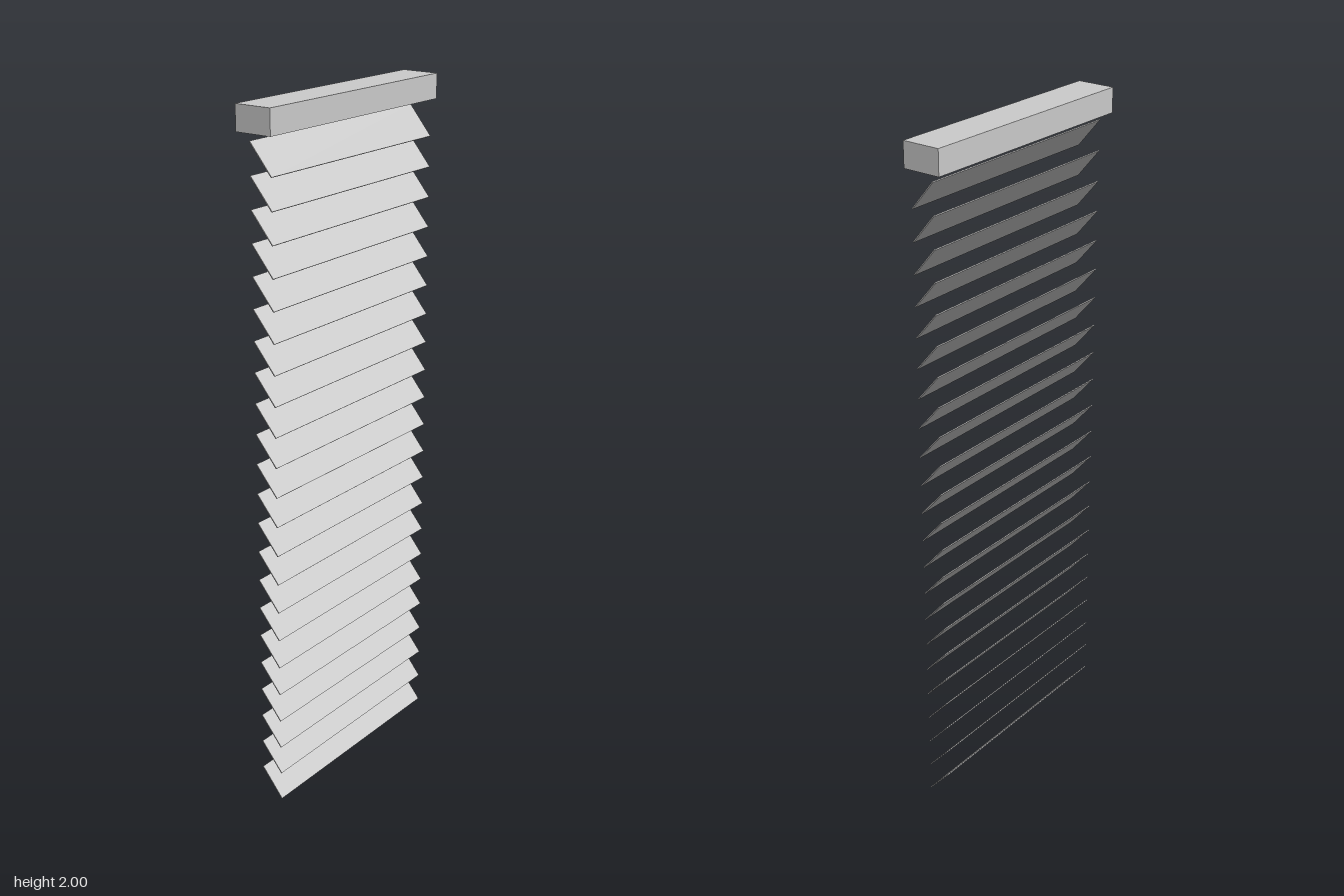
import * as THREE from 'three';

export function createModel() {
  const group = new THREE.Group();
  group.name = 'windowBlind';
  const material = new THREE.MeshStandardMaterial({ color: 0xcccccc, flatShading: true });

  // the whole blind is turned about the vertical axis
  const blind = new THREE.Group();
  blind.name = 'blind';
  blind.rotation.y = 0.892;
  group.add(blind);

  // head rail
  const rail = new THREE.Mesh(new THREE.BoxGeometry(0.723, 0.07, 0.112), material);
  rail.name = 'headRail';
  rail.position.y = 1.965;
  blind.add(rail);

  // tilted slats, evenly spaced from the bottom up
  const slatCount = 22, pitch = 0.0869;
  const slatGeometry = new THREE.BoxGeometry(0.697, 0.108, 0.003);
  const slats = new THREE.Group();
  slats.name = 'slats';
  for (let i = 0; i < slatCount; i++) {
    const slat = new THREE.Mesh(slatGeometry, material);
    slat.name = `slat${i + 1}`;
    slat.position.set(0, 0.0424 + i * pitch, 0.011);
    slat.rotation.x = -0.7;
    slats.add(slat);
  }
  blind.add(slats);

  return group;
}
